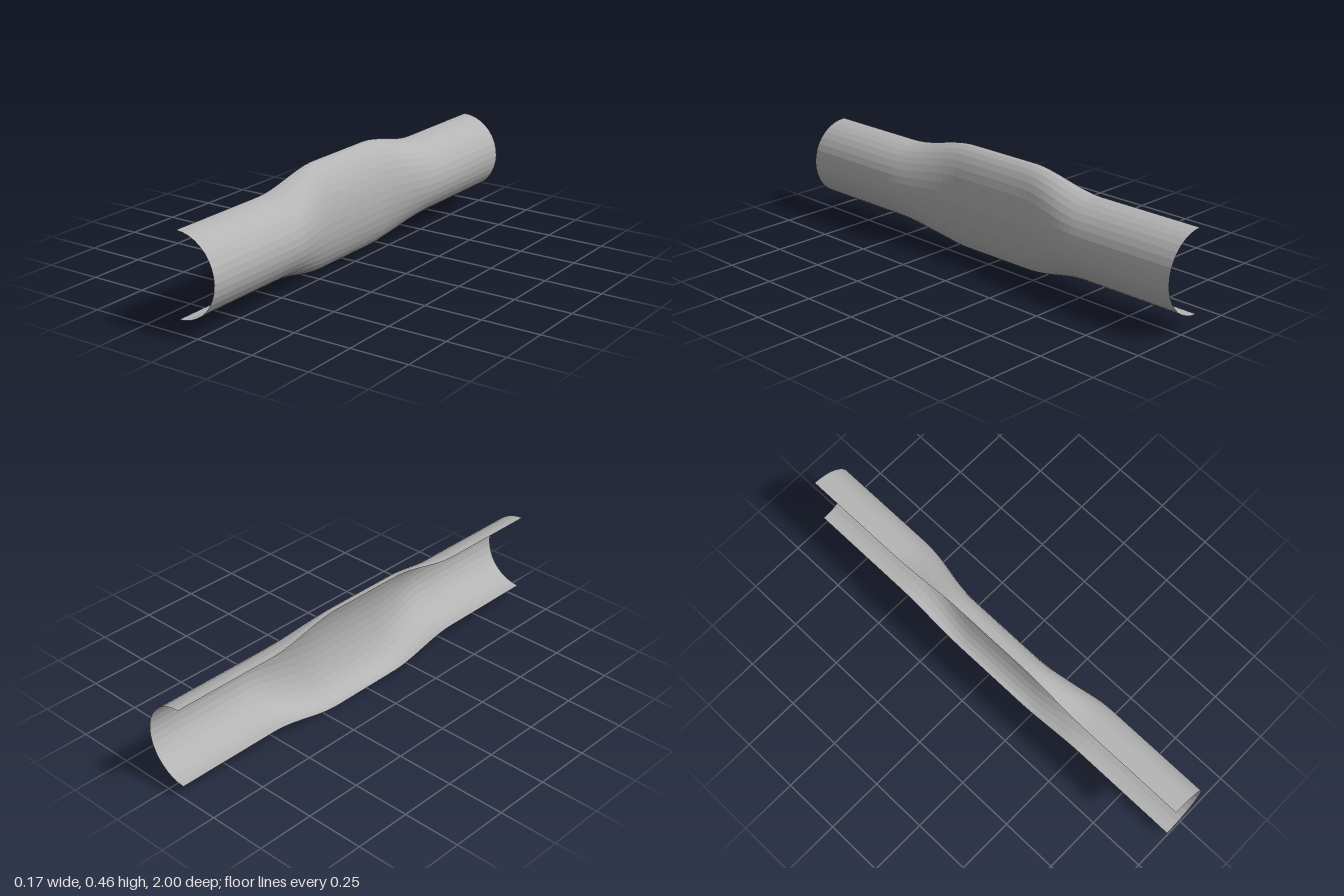
import * as THREE from 'three';

const CENTER_X = -0.087, CENTER_Y = 0.23;
const END_RADIUS = 0.173;          // round half-section at both ends
const MID_X = 0.117, MID_Y = 0.23; // flattened half-section in the middle

export function createModel() {
  const group = new THREE.Group();
  group.name = 'halfTube';

  const shellGrey = new THREE.MeshStandardMaterial({
    color: 0xb4b4b4, flatShading: true, side: THREE.DoubleSide,
  });
  shellGrey.name = 'shellGrey';

  // Open half-pipe: u runs along the length, v around the half-section
  const geometry = new THREE.PlaneGeometry(1, 1, 64, 18);
  const position = geometry.attributes.position;
  for (let i = 0; i < position.count; i++) {
    const z = -2 * position.getX(i);
    const angle = position.getY(i) * Math.PI;
    // 0 at the round ends, 1 in the flattened middle
    const bulge = 1 - THREE.MathUtils.smoothstep(Math.abs(z), 0.17, 0.53);
    const rx = THREE.MathUtils.lerp(END_RADIUS, MID_X, bulge);
    const ry = THREE.MathUtils.lerp(END_RADIUS, MID_Y, bulge);
    position.setXYZ(i, CENTER_X + rx * Math.cos(angle), CENTER_Y + ry * Math.sin(angle), z);
  }
  geometry.computeVertexNormals();

  const shell = new THREE.Mesh(geometry, shellGrey);
  shell.name = 'shell';
  group.add(shell);
  return group;
}
